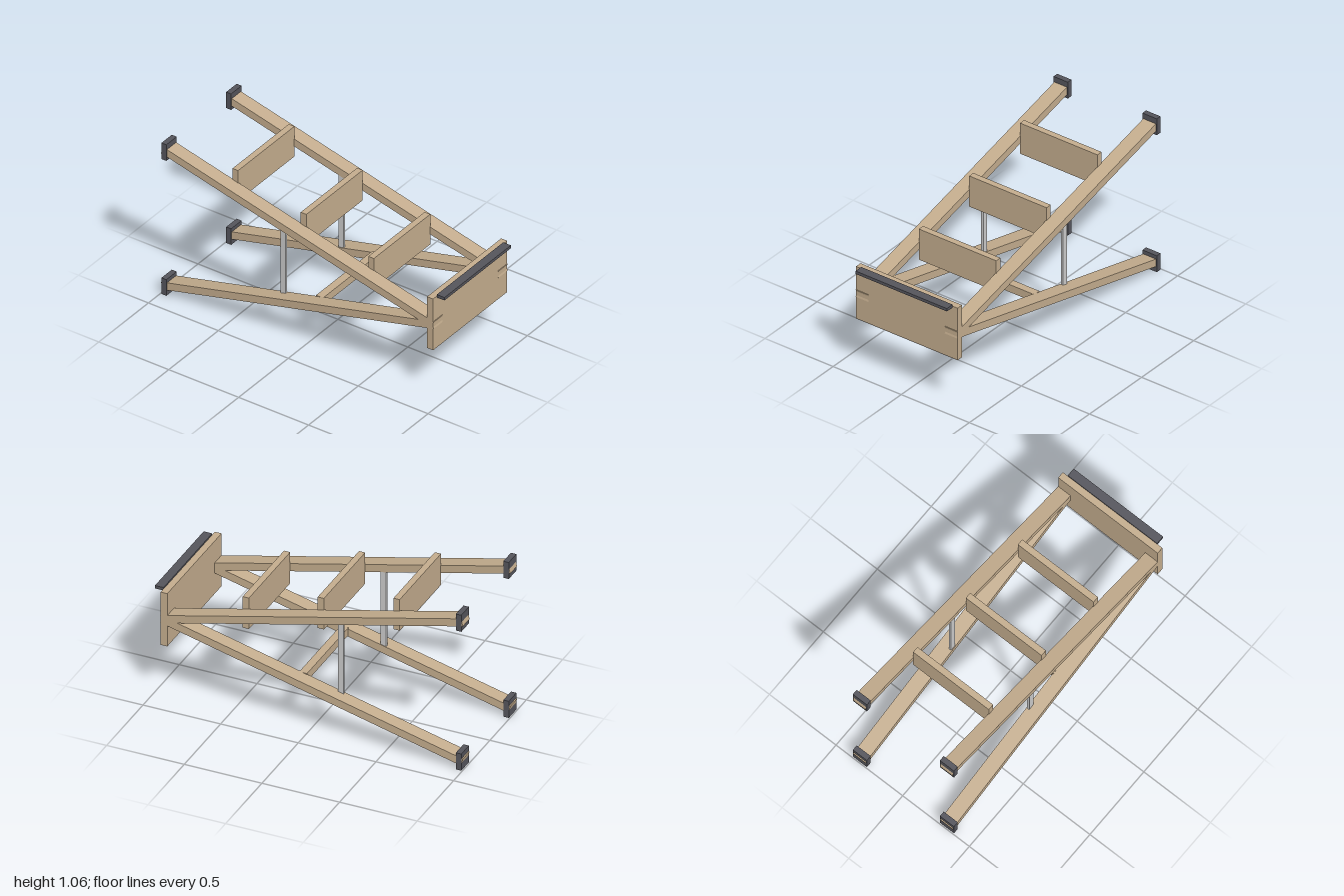
import * as THREE from 'three';

export function createModel() {
  const model = new THREE.Group();
  model.name = 'stepladder';
  const wood = new THREE.MeshStandardMaterial({ color: 0xc4ad8e });
  const rubber = new THREE.MeshStandardMaterial({ color: 0x55555c });
  const metal = new THREE.MeshStandardMaterial({ color: 0xcccccc });

  // Box of the given size, centred on a point
  function box(name, material, size, position) {
    const mesh = new THREE.Mesh(new THREE.BoxGeometry(...size), material);
    mesh.name = name;
    mesh.position.set(...position);
    model.add(mesh);
    return mesh;
  }

  // Slanted rails meet at the hinge and spread apart towards the back
  const hingeY = 0.53, hingeZ = 0.943, endZ = -0.994, rise = 0.477;
  const run = hingeZ - endZ;
  const slope = Math.atan2(rise, run);
  const railX = 0.3265;

  for (const side of [1, -1]) {
    const sideName = side > 0 ? 'left' : 'right';
    for (const up of [1, -1]) {
      const railName = sideName + (up > 0 ? 'StepRail' : 'SupportRail');
      const rail = box(railName, wood, [0.093, 0.05, Math.hypot(run, rise)],
        [side * railX, hingeY + up * rise / 2, (hingeZ + endZ) / 2]);
      rail.rotation.x = up * slope;
      // Rubber foot around the rail end
      box(railName + 'Foot', rubber, [0.105, 0.113, 0.035],
        [side * railX, hingeY + up * (rise - 0.003), -0.9755]);
    }
    // Flat spreader bar between the two rails
    box(sideName + 'SpreaderBar', metal, [0.016, 0.53, 0.037], [side * 0.293, hingeY, -0.18]);
  }

  // Top board and tool ledge
  box('topBoard', wood, [0.746, 0.36, 0.043], [0, 0.535, 0.9245]);
  box('toolLedge', rubber, [0.67, 0.02, 0.055], [0, 0.715, 0.9725]);

  // Steps between the step rails
  [[0.655, 0.439], [0.777, -0.044], [0.895, -0.532]].forEach(([y, z], i) => {
    box('step' + (i + 1), wood, [0.568, 0.212, 0.04], [0, y, z]);
  });

  // Brace between the support rails
  box('supportBrace', wood, [0.568, 0.052, 0.05], [0, 0.316, 0.07]);

  return model;
}
